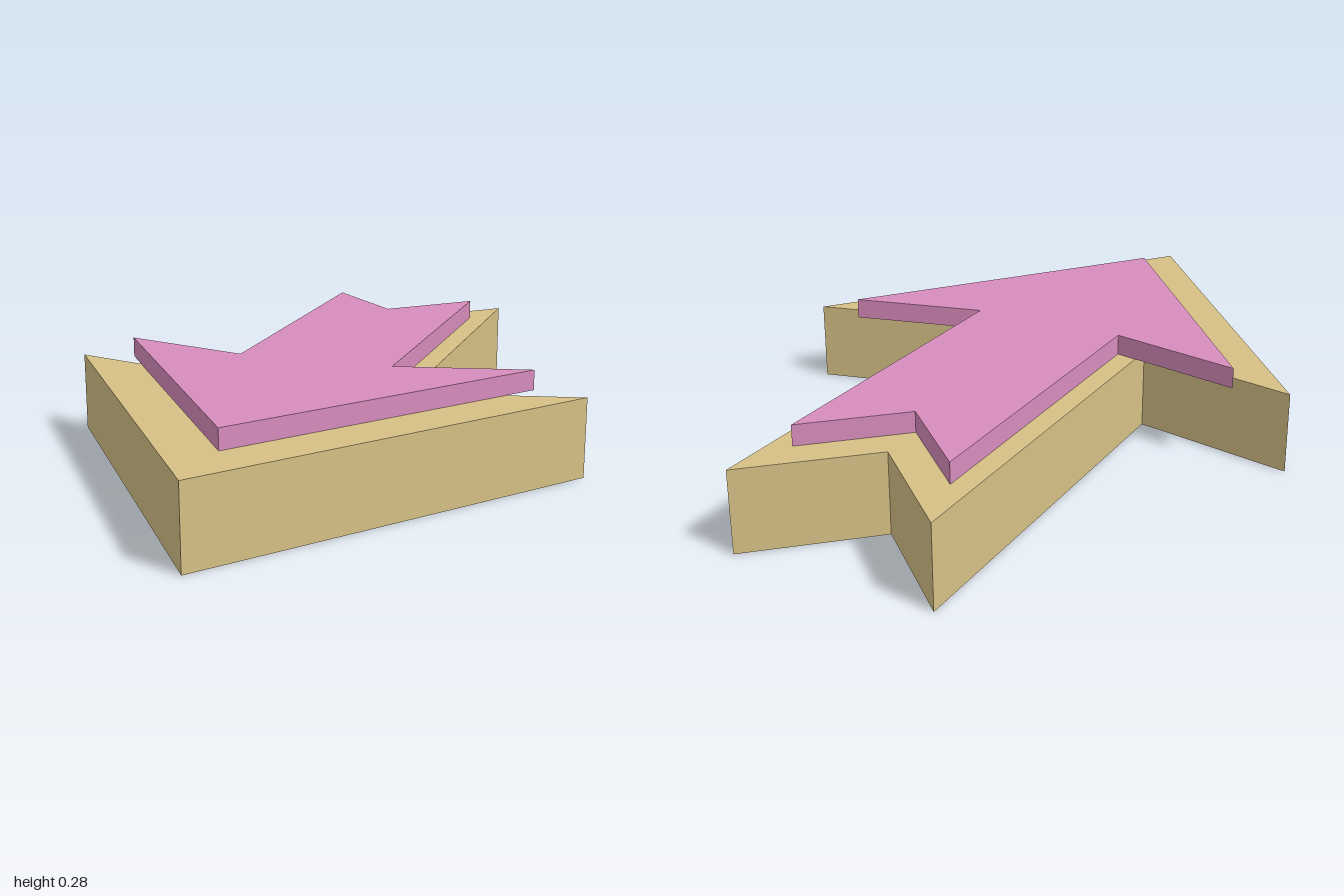
import * as THREE from 'three';

// Extrudes a mirrored arrow outline, given as [x, z] points from tail notch to tip.
function arrow(name, half, bottom, height, material) {
  const mirrored = half.slice(1, -1).reverse().map(([x, z]) => [-x, z]);
  const outline = [...half, ...mirrored].map(([x, z]) => new THREE.Vector2(x, -z));
  const geometry = new THREE.ExtrudeGeometry(new THREE.Shape(outline), { depth: height, bevelEnabled: false });
  geometry.rotateX(-Math.PI / 2).translate(0, bottom, 0);
  const mesh = new THREE.Mesh(geometry, material);
  mesh.name = name;
  return mesh;
}

export function createModel() {
  const tan = new THREE.MeshStandardMaterial({ name: 'tan', color: 0xd6c086 });
  const pink = new THREE.MeshStandardMaterial({ name: 'pink', color: 0xd78cbc });

  const model = new THREE.Group();
  model.name = 'arrow';
  model.add(
    // Thick lower arrow
    arrow('baseArrow', [[0, -0.742], [0.278, -1], [0.278, 0.143], [0.738, 0.037], [0, 1]], 0, 0.222, tan),
    // Thin upper arrow, its barbs overhanging the base
    arrow('topArrow', [[0, -0.616], [0.22, -0.822], [0.22, 0.093], [0.59, 0.008], [0, 0.776]], 0.222, 0.056, pink),
  );
  return model;
}
